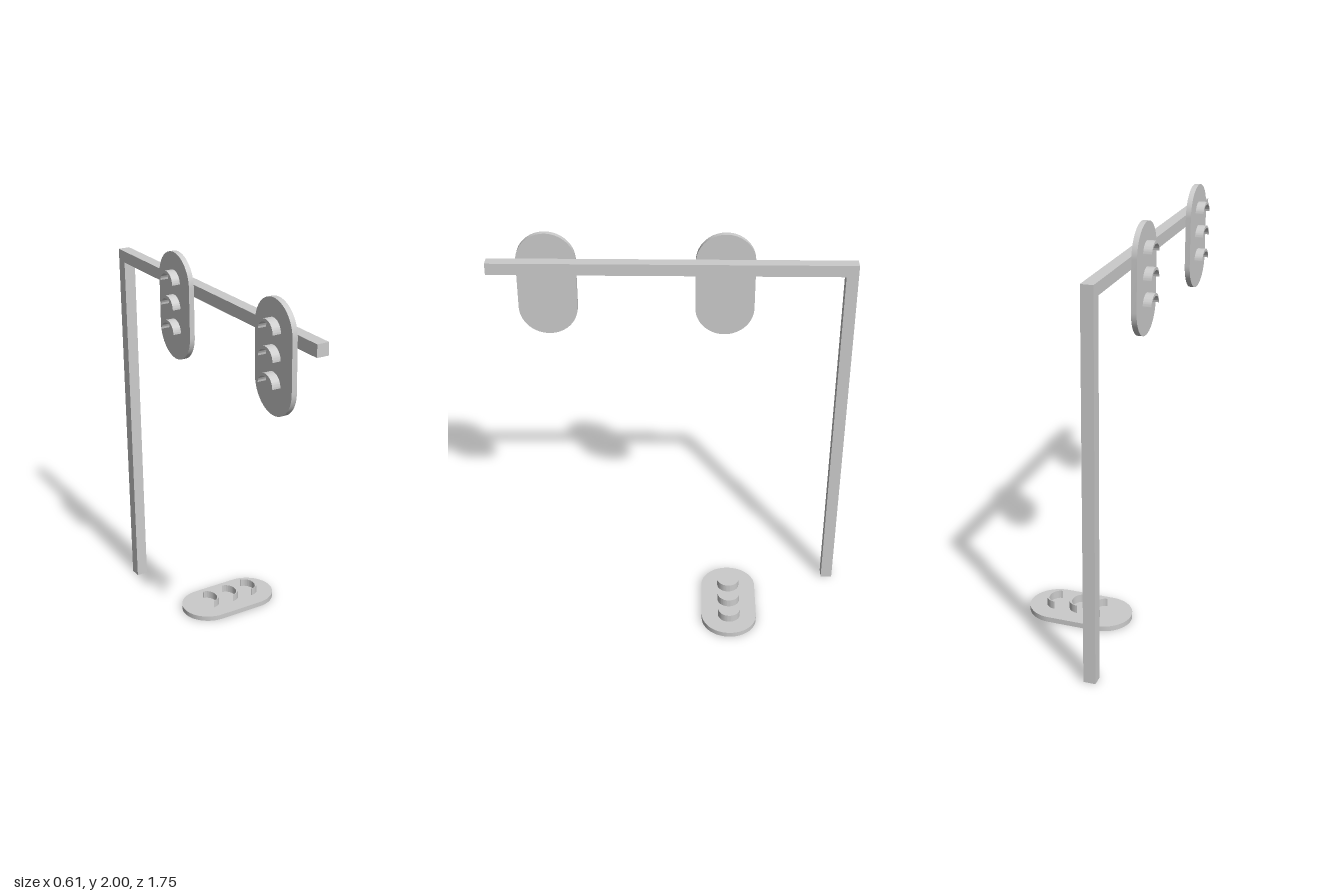
import * as THREE from 'three';
import { toCreasedNormals } from 'three/addons/utils/BufferGeometryUtils.js';

const material = new THREE.MeshStandardMaterial({ color: 0xcccccc });
const PLATE_R = 0.142, PLATE_HALF = 0.262, PLATE_T = 0.026;
const HOOD_R = 0.057, HOOD_DEPTH = 0.041, SPACING = 0.12;

function addMesh(parent, name, geometry, x = 0, y = 0, z = 0) {
  const mesh = new THREE.Mesh(geometry, material);
  mesh.name = name;
  mesh.position.set(x, y, z);
  parent.add(mesh);
}

// Extrude an outline upwards from the ground plane
function slab(shape, depth) {
  const g = new THREE.ExtrudeGeometry(shape, { depth, bevelEnabled: false, curveSegments: 24 });
  g.rotateX(-Math.PI / 2);
  return toCreasedNormals(g, 0.6);
}

// Round-ended back plate
function plateGeometry() {
  const c = PLATE_HALF - PLATE_R, q = Math.PI / 2;
  const s = new THREE.Shape();
  s.absarc(c, 0, PLATE_R, -q, q, false);
  s.absarc(-c, 0, PLATE_R, q, 3 * q, false);
  s.closePath();
  return slab(s, PLATE_T);
}

// Crescent-shaped lamp hood, tapering to its tips
function hoodGeometry() {
  const q = Math.PI / 2;
  const s = new THREE.Shape();
  s.absarc(0, 0, HOOD_R, -q, q, false);
  s.absellipse(0, 0, HOOD_R - 0.014, HOOD_R - 0.001, q, -q, true);
  s.closePath();
  return slab(s, HOOD_DEPTH);
}

// Plate with three hoods, lying flat with the hoods up
function signal(name, plate, hood) {
  const group = new THREE.Group();
  group.name = name;
  addMesh(group, 'backPlate', plate);
  for (const i of [-1, 0, 1]) addMesh(group, 'lampHood', hood, i * SPACING, PLATE_T, 0);
  return group;
}

export function createModel() {
  const model = new THREE.Group();
  model.name = 'trafficSignal';

  // Square pole and overhead arm
  addMesh(model, 'pole', new THREE.BoxGeometry(0.058, 1.815, 0.058), -0.214, 0.9075, -0.846);
  addMesh(model, 'arm', new THREE.BoxGeometry(0.058, 0.058, 1.75), -0.214, 1.844, 0);

  const plate = plateGeometry(), hood = hoodGeometry();

  // Two signals hung on the arm, facing -x
  for (const z of [0.595, -0.255]) {
    const s = signal('armSignal', plate, hood);
    s.rotation.z = Math.PI / 2;
    s.position.set(-0.243, 1.738, z);
    model.add(s);
  }

  // Loose signal lying on the ground
  const loose = signal('groundSignal', plate, hood);
  loose.position.set(0.04, 0, -0.305);
  model.add(loose);

  return model;
}
